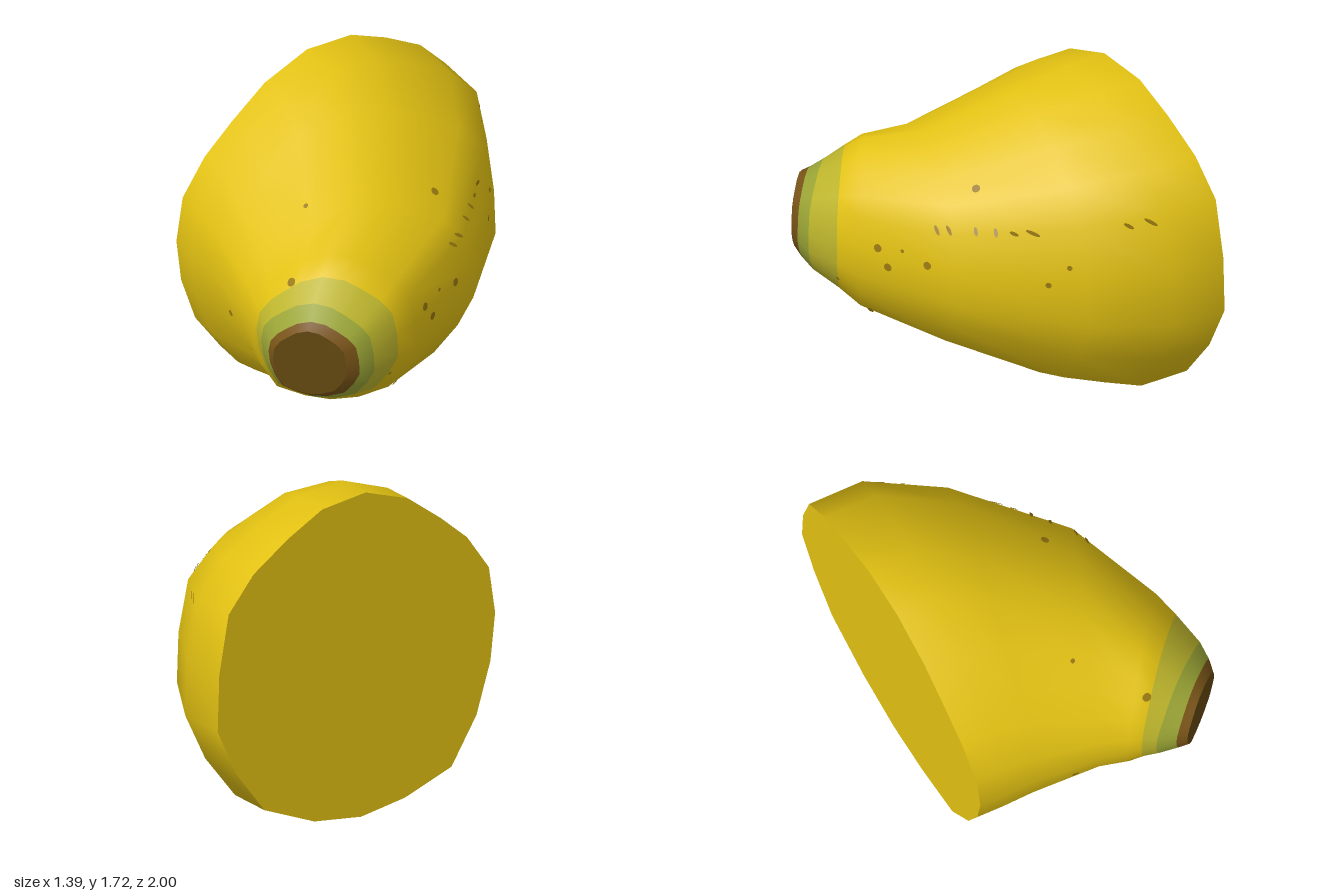
import * as THREE from 'three';

const mat = (name, color, side = THREE.FrontSide) => {
  const m = new THREE.MeshStandardMaterial({ color, side });
  m.name = name;
  return m;
};

// Five-cornered rounded cross-section of the cut end, as [z, y]
const PROFILE = [
  [-0.05, 1.72], [-0.33, 1.69], [-0.55, 1.58], [-0.77, 1.44], [-0.93, 1.26],
  [-0.99, 0.95], [-1, 0.65], [-0.88, 0.4], [-0.7, 0.17], [-0.38, 0.04],
  [-0.08, 0], [0.2, 0.04], [0.5, 0.14], [0.66, 0.38], [0.75, 0.65],
  [0.78, 0.9], [0.74, 1.15], [0.6, 1.34], [0.43, 1.48], [0.22, 1.63],
].map(([z, y]) => [(0.78 - z) / 1.78, y / 1.72]);
const N = PROFILE.length;

// Sections along the bend: inner x, z, outer x, z, bottom y, top y
const SECTIONS = [
  [-0.7, 0.78, -0.7, -1, 0, 1.72],
  [-0.56, 0.795, -0.4, -0.97, 0, 1.72],
  [-0.4, 0.81, -0.03, -0.73, 0.1, 1.62],
  [-0.06, 0.87, 0.42, -0.24, 0.33, 1.41],
  [0.08, 0.91, 0.62, 0.28, 0.43, 1.31],
  [0.15, 0.93, 0.655, 0.42, 0.51, 1.24],
  [0.22, 0.955, 0.692, 0.6, 0.58, 1.15],
  [0.32, 0.985, 0.687, 0.69, 0.64, 1.09],
  [0.375, 1, 0.67, 0.76, 0.68, 1.06],
];

const ring = ([ix, iz, ox, oz, y0, y1]) => PROFILE.map(([s, t]) =>
  new THREE.Vector3(ix + (ox - ix) * s, y0 + (y1 - y0) * t, iz + (oz - iz) * s));

// Skin: one smooth surface with a material group for each colour band
function skinGeometry() {
  const index = [];
  for (let i = 0; i < SECTIONS.length - 1; i++) {
    for (let j = 0; j < N; j++) {
      const k = (j + 1) % N;
      const a = i * N + j, b = i * N + k, c = a + N, d = b + N;
      index.push(a, c, b, b, c, d);
    }
  }
  const geo = new THREE.BufferGeometry().setFromPoints(SECTIONS.flatMap(ring));
  geo.setIndex(index);
  geo.computeVertexNormals();
  const band = N * 6;
  geo.addGroup(0, 5 * band, 0);
  geo.addGroup(5 * band, band, 1);
  geo.addGroup(6 * band, band, 2);
  geo.addGroup(7 * band, band, 3);
  return geo;
}

// Flat end closing a section
function capGeometry(section, flip) {
  const pts = ring(section);
  const centre = new THREE.Vector3();
  pts.forEach((p) => centre.addScaledVector(p, 1 / N));
  const index = [];
  for (let j = 0; j < N; j++) {
    const k = (j + 1) % N;
    if (flip) index.push(N, j, k);
    else index.push(N, k, j);
  }
  const geo = new THREE.BufferGeometry().setFromPoints([...pts, centre]);
  geo.setIndex(index);
  geo.computeVertexNormals();
  return geo;
}

export function createModel() {
  const group = new THREE.Group();
  const yellow = mat('peelYellow', 0xe2c112);
  const lime = mat('paleGreen', 0xbdb52c);
  const green = mat('green', 0x9aa435);
  const brown = mat('stemBrown', 0x785317);
  const dark = mat('tipBrown', 0x624811);
  const freckle = mat('freckleBrown', 0x98780f, THREE.DoubleSide);

  const add = (name, geo, material) => {
    const mesh = new THREE.Mesh(geo, material);
    mesh.name = name;
    group.add(mesh);
    return mesh;
  };
  const skin = add('skin', skinGeometry(), [yellow, lime, green, brown]);
  add('cutFace', capGeometry(SECTIONS[0], true), yellow);
  add('tip', capGeometry(SECTIONS[SECTIONS.length - 1], false), dark);

  // Freckles: thin discs dropped onto the skin along an axis
  skin.updateMatrixWorld();
  const caster = new THREE.Raycaster();
  const disc = new THREE.CircleGeometry(1, 10);
  const spot = (from, dir, w, h = w) => {
    caster.set(new THREE.Vector3(...from), new THREE.Vector3(...dir));
    const hit = caster.intersectObject(skin)[0];
    if (!hit) return;
    const n = hit.face.normal;
    const mesh = add('freckle', disc, freckle);
    mesh.position.copy(hit.point).addScaledVector(n, 0.004);
    mesh.quaternion.setFromUnitVectors(new THREE.Vector3(0, 0, 1), n);
    mesh.scale.set(w, h, 1);
  };
  const fromSide = (z, y, w, h) => spot([3, y, z], [-1, 0, 0], w, h);
  const fromFront = (x, y, w, h) => spot([x, y, 3], [0, 0, -1], w, h);

  // Side freckles and the broken streak along the upper ridge
  [[-0.15, 1.31, 0.022], [-0.08, 0.93, 0.022], [0.19, 0.95, 0.022],
    [0.13, 0.86, 0.022], [0.06, 0.97, 0.01], [-0.58, 0.9, 0.016],
    [-0.65, 1, 0.014], [0.33, 0.51, 0.018], [0.45, 0.68, 0.011],
  ].forEach(([z, y, r]) => fromSide(z, y, r));
  [[-0.1, 1.125, 0.03], [-0.16, 1.14, 0.03], [-0.27, 1.15, 0.025],
    [-0.35, 1.155, 0.025], [-0.42, 1.16, 0.025], [-0.49, 1.17, 0.04],
    [-0.8, 1.215, 0.03], [-0.86, 1.23, 0.04],
  ].forEach(([z, y, w]) => fromSide(z, y, w, 0.01));

  // Front freckles
  [[0, 1.38, 0.013], [0.26, 1.18, 0.024], [-0.18, 0.77, 0.018], [-0.02, 0.63, 0.01],
  ].forEach(([x, y, r]) => fromFront(x, y, r));

  return group;
}
